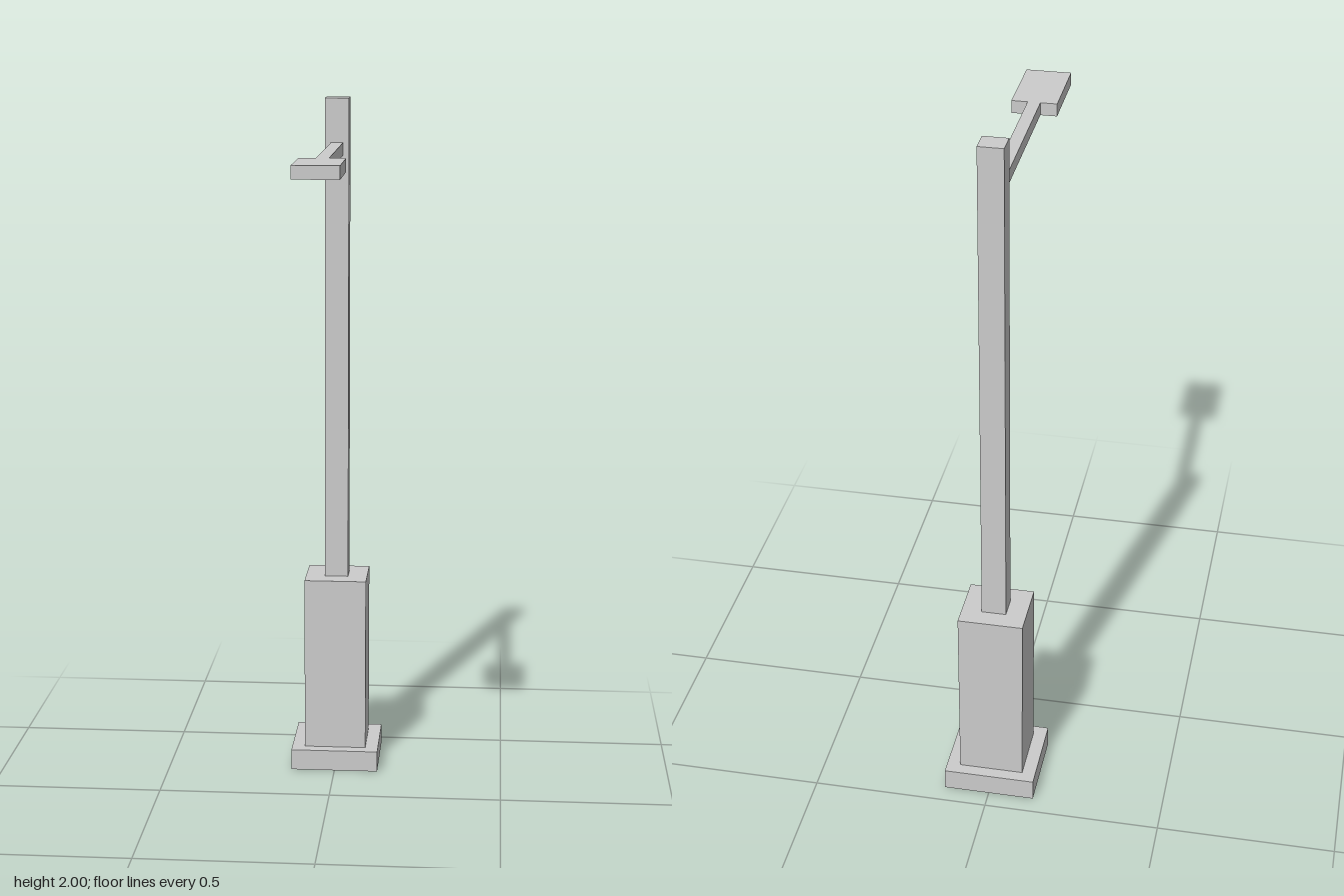
import * as THREE from 'three';

const solid = new THREE.MeshStandardMaterial({ color: 0xcccccc, flatShading: true });
const shell = new THREE.MeshStandardMaterial({ color: 0xcccccc, flatShading: true, side: THREE.DoubleSide });

// Rectangular rings [x0, x1, z0, z1] for each section of the hollow column
const PLINTH = [-0.13, 0.129, -0.446, -0.201];
const PEDESTAL = [-0.092, 0.091, -0.411, -0.236];
const POLE = [-0.035, 0.034, -0.357, -0.293];

// Skin between two rectangular rings, each given as a rectangle and a height
function band([a, ya], [b, yb]) {
  const corners = ([x0, x1, z0, z1], y) => [[x0, y, z1], [x1, y, z1], [x1, y, z0], [x0, y, z0]];
  const lo = corners(a, ya), hi = corners(b, yb), pos = [];
  for (let i = 0; i < 4; i++) {
    const j = (i + 1) % 4;
    pos.push(...lo[i], ...lo[j], ...hi[j], ...lo[i], ...hi[j], ...hi[i]);
  }
  const geo = new THREE.BufferGeometry();
  geo.setAttribute('position', new THREE.Float32BufferAttribute(pos, 3));
  geo.computeVertexNormals();
  return geo;
}

function box(name, x0, x1, y0, y1, z0, z1) {
  const mesh = new THREE.Mesh(new THREE.BoxGeometry(x1 - x0, y1 - y0, z1 - z0), solid);
  mesh.position.set((x0 + x1) / 2, (y0 + y1) / 2, (z0 + z1) / 2);
  mesh.name = name;
  return mesh;
}

export function createModel() {
  const group = new THREE.Group();
  group.name = 'streetLamp';

  // Stepped column, hollow and open at the bottom
  const rings = [
    [PLINTH, 0], [PLINTH, 0.062],
    [PEDESTAL, 0.062], [PEDESTAL, 0.583],
    [POLE, 0.583], [POLE, 2],
  ];
  const names = ['plinth', 'plinthTop', 'pedestal', 'pedestalTop', 'pole'];
  names.forEach((name, i) => {
    const mesh = new THREE.Mesh(band(rings[i], rings[i + 1]), shell);
    mesh.name = name;
    group.add(mesh);
  });

  // Pole cap
  const [x0, x1, z0, z1] = POLE;
  const cap = new THREE.Mesh(new THREE.PlaneGeometry(x1 - x0, z1 - z0).rotateX(-Math.PI / 2), shell);
  cap.position.set((x0 + x1) / 2, 2, (z0 + z1) / 2);
  cap.name = 'poleCap';
  group.add(cap);

  // Arm and lamp head share the same thickness
  group.add(box('arm', -0.018, 0.017, 1.837, 1.873, z1, 0.223));
  group.add(box('lampHead', -0.064, 0.062, 1.837, 1.873, 0.223, 0.443));
  return group;
}
